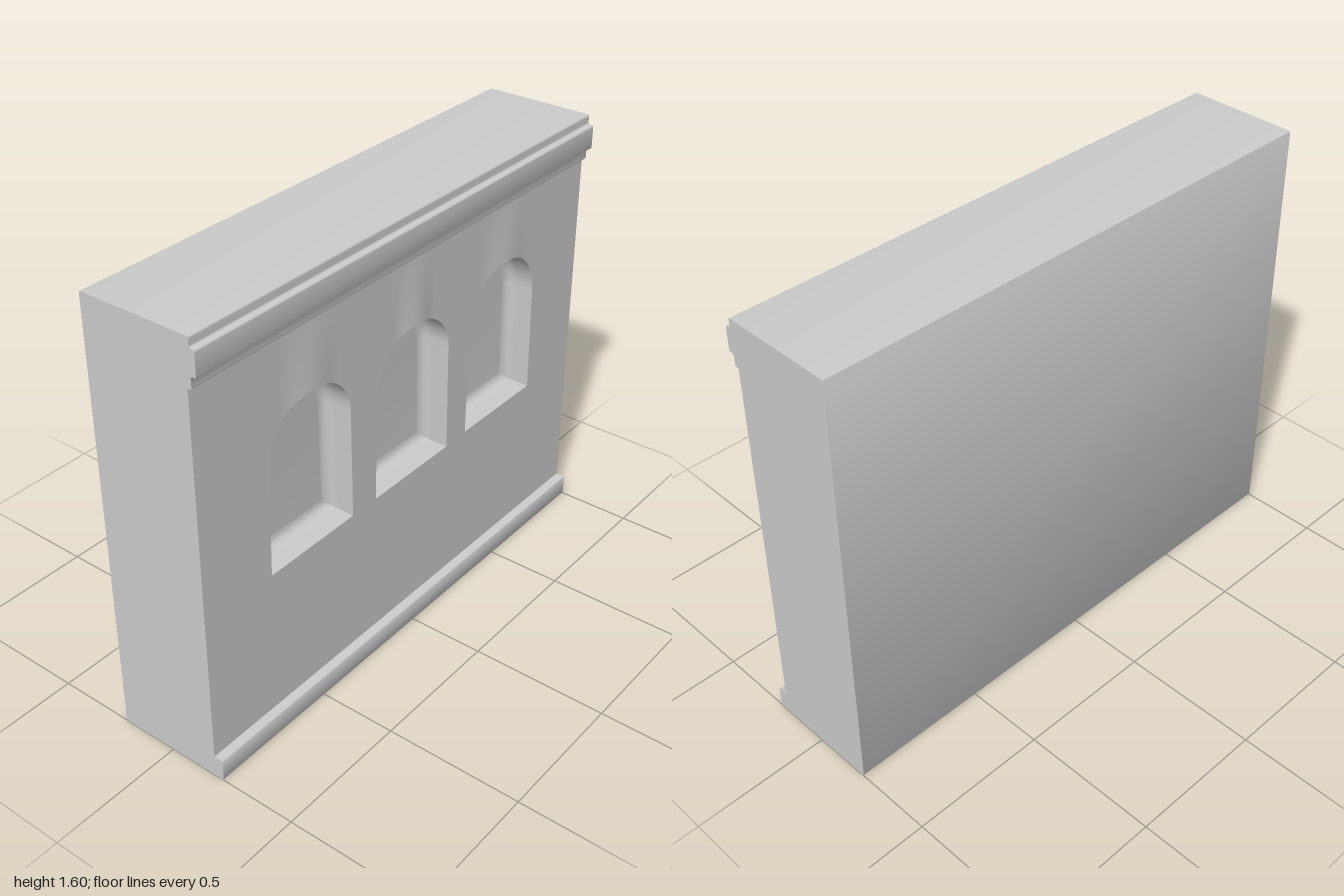
import * as THREE from 'three';
import { toCreasedNormals } from 'three/addons/utils/BufferGeometryUtils.js';

const BACK = -0.215, FLOOR = 0.08, FACE = 0.185; // x of slab back, niche floor, wall face
const BASE_TOP = 0.08, CORNICE_BOTTOM = 1.435, HEIGHT = 1.6;
const SPRING = 1.02;

// z centre, sill height and crown height of each arched niche
const NICHES = [
  { z: 0.5, sill: 0.615, top: 1.195, hood: 0.13 },
  { z: -0.02, sill: 0.615, top: 1.19, hood: 0.1 },
  { z: -0.53, sill: 0.62, top: 1.215, hood: 0.14 },
];

const material = new THREE.MeshStandardMaterial({ color: 0xcccccc, side: THREE.DoubleSide });

function addMesh(parent, name, geometry) {
  const mesh = new THREE.Mesh(geometry, material);
  mesh.name = name;
  parent.add(mesh);
}

// Polygon with its corners rounded by radius r
function roundedShape(corners, r) {
  const shape = new THREE.Shape();
  const pts = corners.map(([x, y]) => new THREE.Vector2(x, y));
  pts.forEach((p, i) => {
    const prev = pts[(i + pts.length - 1) % pts.length];
    const next = pts[(i + 1) % pts.length];
    const a = prev.clone().sub(p).setLength(r).add(p);
    const b = next.clone().sub(p).setLength(r).add(p);
    if (i === 0) shape.moveTo(a.x, a.y);
    else shape.lineTo(a.x, a.y);
    shape.quadraticCurveTo(p.x, p.y, b.x, b.y);
  });
  shape.closePath();
  return shape;
}

// Niche outline in (z, y): splayed jambs and a round arch, shrunk by inset
function nicheOutline({ z, sill, top }, inset = 0) {
  const foot = 0.2 - inset, half = 0.192 - inset;
  const pts = [];
  for (let i = 0; i <= 8; i++) pts.push([z - foot + (2 * foot * i) / 8, sill + inset]);
  for (let i = 0; i <= 32; i++) {
    const a = (Math.PI * i) / 32;
    pts.push([z + half * Math.cos(a), SPRING + (top - inset - SPRING) * Math.sin(a)]);
  }
  return pts;
}

// Concave fillet where the niche reveal meets its floor
function filletGeometry(niche) {
  const steps = 6, r = 0.035, positions = [], index = [];
  let n = 0;
  for (let s = 0; s <= steps; s++) {
    const a = (s / steps) * Math.PI / 2;
    const ring = nicheOutline(niche, r * (1 - Math.cos(a)));
    n = ring.length;
    ring.forEach(([z, y]) => positions.push(FLOOR + r * (1 - Math.sin(a)) + 0.001, y, z));
  }
  for (let s = 0; s < steps; s++) {
    for (let i = 0; i < n; i++) {
      const a = s * n + i, b = s * n + ((i + 1) % n);
      index.push(a, b, a + n, b, b + n, a + n);
    }
  }
  const g = new THREE.BufferGeometry();
  g.setAttribute('position', new THREE.Float32BufferAttribute(positions, 3));
  g.setIndex(index);
  return toCreasedNormals(g, 0.7);
}

// Faint swelling of the wall between the arch crown and the cornice
function swellingGeometry({ z, top, hood }) {
  const g = new THREE.PlaneGeometry(2, 1, 16, 12);
  const p = g.attributes.position;
  for (let i = 0; i < p.count; i++) {
    const u = p.getX(i), v = p.getY(i) + 0.5;
    const archY = SPRING + (top - SPRING) * Math.sqrt(1 - ((u * hood) / 0.192) ** 2);
    const lift = 0.011 * (1 - v) * (1 - u * u) ** 2;
    p.setXYZ(i, FACE + lift + 0.0005, archY + (CORNICE_BOTTOM - archY) * v, z - u * hood);
  }
  g.computeVertexNormals();
  return g;
}

export function createModel() {
  const group = new THREE.Group();

  // Slab with base plinth and stepped cornice, one profile drawn along z
  const profile = roundedShape([
    [BACK, 0], [0.22, 0], [0.22, BASE_TOP], [FLOOR, BASE_TOP],
    [FLOOR, CORNICE_BOTTOM], [0.2, CORNICE_BOTTOM], [0.2, 1.478], [0.22, 1.478],
    [0.22, 1.565], [0.2, 1.565], [0.2, HEIGHT], [BACK, HEIGHT],
  ], 0.007);
  const slab = new THREE.ExtrudeGeometry(profile, { depth: 2, bevelEnabled: false, curveSegments: 4 });
  slab.translate(0, 0, -1);
  addMesh(group, 'slabWithMouldings', toCreasedNormals(slab, 0.6));

  // Front wall layer pierced by the niches (shape x runs along -z)
  const wall = new THREE.Shape([
    [-1, BASE_TOP - 0.008], [1, BASE_TOP - 0.008],
    [1, CORNICE_BOTTOM + 0.008], [-1, CORNICE_BOTTOM + 0.008],
  ].map(([x, y]) => new THREE.Vector2(x, y)));
  NICHES.forEach((niche) => {
    wall.holes.push(new THREE.Path(nicheOutline(niche).map(([z, y]) => new THREE.Vector2(-z, y))));
  });
  const panel = new THREE.ExtrudeGeometry(wall, { depth: FACE - FLOOR, bevelEnabled: false });
  panel.rotateY(Math.PI / 2).translate(FLOOR, 0, 0);
  addMesh(group, 'wallPanel', toCreasedNormals(panel, 0.6));

  // Niche details
  NICHES.forEach((niche, i) => {
    const detail = new THREE.Group();
    detail.name = `niche${i + 1}`;
    addMesh(detail, 'nicheFillet', filletGeometry(niche));
    addMesh(detail, 'wallSwelling', swellingGeometry(niche));
    group.add(detail);
  });

  return group;
}
